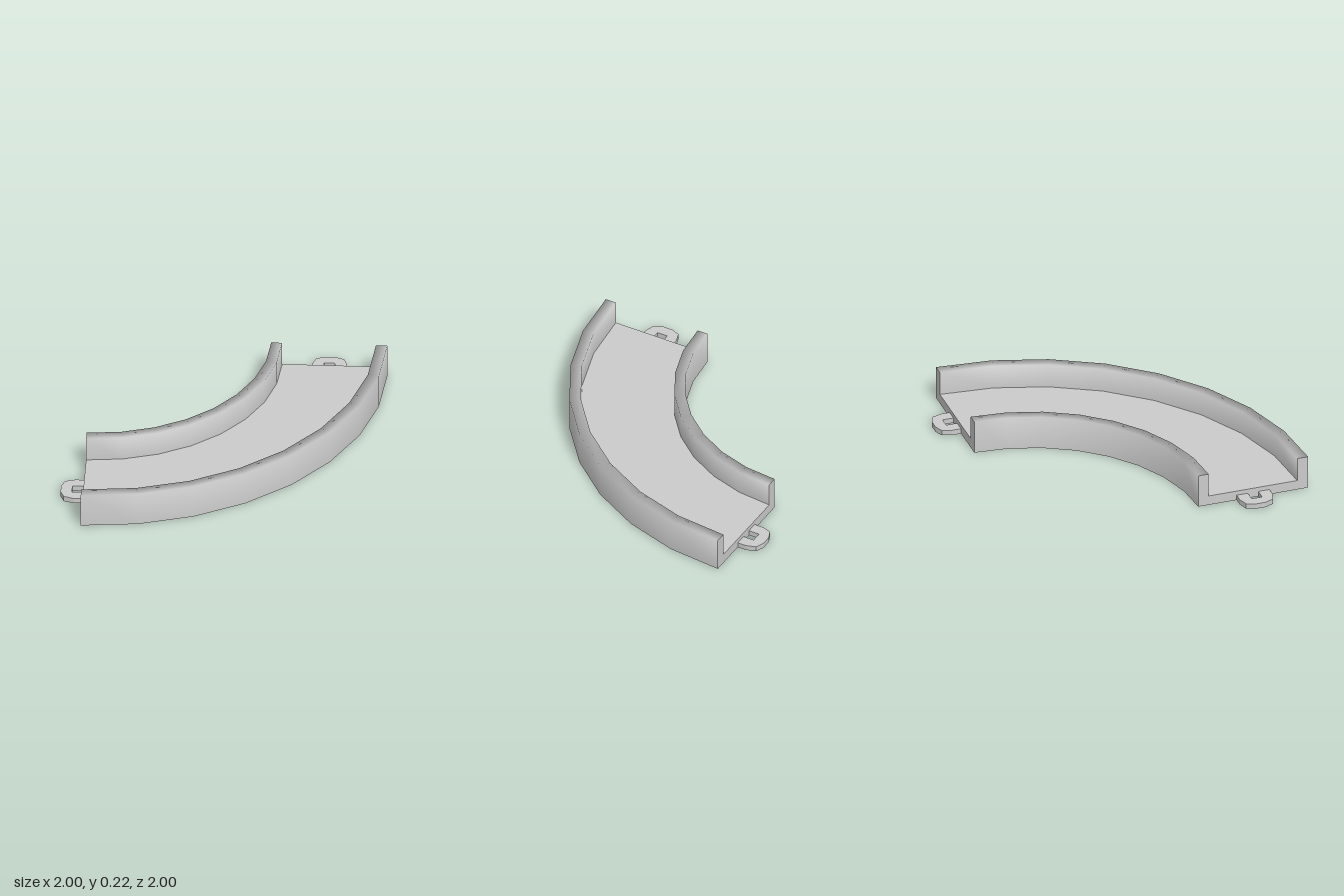
import * as THREE from 'three';

const C = -0.855;                 // bend centre on x and z, also the plane of both ends
const SEGMENTS = 8;
const IN0 = 1.115, IN1 = 1.185, OUT0 = 1.78, OUT1 = 1.853;
const FLOOR = 0.065, TOP = 0.225;

const material = new THREE.MeshStandardMaterial({ color: 0xcccccc });

function mesh(name, geometry) {
  const m = new THREE.Mesh(geometry, material);
  m.name = name;
  return m;
}

// Sweep a run of [radius, height] points round the quarter bend, smooth along the run
function sweep(profile) {
  const position = [], index = [], n = profile.length;
  for (let j = 0; j <= SEGMENTS; j++) {
    const a = (j / SEGMENTS) * Math.PI / 2;
    for (const [r, y] of profile) position.push(C + r * Math.sin(a), y, C + r * Math.cos(a));
  }
  for (let j = 0; j < SEGMENTS; j++) {
    for (let i = 0; i < n - 1; i++) {
      const a = j * n + i, b = a + n;
      index.push(a, b, a + 1, b, b + 1, a + 1);
    }
  }
  const g = new THREE.BufferGeometry();
  g.setAttribute('position', new THREE.Float32BufferAttribute(position, 3));
  g.setIndex(index);
  g.computeVertexNormals();
  return g;
}

// Flat U-shaped cross-section closing one end of the track
function endCap(sign) {
  const outline = [[IN0, 0], [OUT1, 0], [OUT1, TOP], [OUT0, TOP], [OUT0, FLOOR], [IN1, FLOOR], [IN1, TOP], [IN0, TOP]];
  return new THREE.ShapeGeometry(new THREE.Shape(outline.map(([r, y]) => new THREE.Vector2(sign * r, y))));
}

// Flat loop with a square opening against the track end
function connector() {
  const half = [[0.035, 0], [0.11, 0], [0.11, 0.06], [0.09, 0.122], [0.035, 0.145]];
  const outer = [...half, ...half.slice(1).reverse().map(([u, v]) => [-u, v])];
  const outline = [...outer, [-0.035, 0], [-0.035, 0.073], [0.035, 0.073]];
  const shape = new THREE.Shape(outline.map(([u, v]) => new THREE.Vector2(u, v)));
  return new THREE.ExtrudeGeometry(shape, { depth: 0.035, bevelEnabled: false }).rotateX(-Math.PI / 2);
}

export function createModel() {
  const group = new THREE.Group();
  group.name = 'curvedTrack';

  // Channel: two walls, floor and underside
  group.add(
    mesh('outerWall', sweep([[OUT1, 0], [OUT1, TOP], [OUT0, TOP], [OUT0, FLOOR]])),
    mesh('floor', sweep([[OUT0, FLOOR], [IN1, FLOOR]])),
    mesh('innerWall', sweep([[IN1, FLOOR], [IN1, TOP], [IN0, TOP], [IN0, 0]])),
    mesh('underside', sweep([[IN0, 0], [OUT1, 0]])),
  );

  // End faces
  const rightEnd = mesh('rightEnd', endCap(1));
  rightEnd.rotation.y = -Math.PI / 2;
  rightEnd.position.set(C, 0, C);
  const backEnd = mesh('backEnd', endCap(-1));
  backEnd.rotation.y = Math.PI;
  backEnd.position.set(C, 0, C);

  // Connector loops
  const backConnector = mesh('backConnector', connector());
  backConnector.position.set(0.628, 0, C);
  const rightConnector = mesh('rightConnector', connector());
  rightConnector.rotation.y = Math.PI / 2;
  rightConnector.position.set(C, 0, 0.628);

  group.add(rightEnd, backEnd, backConnector, rightConnector);
  return group;
}
